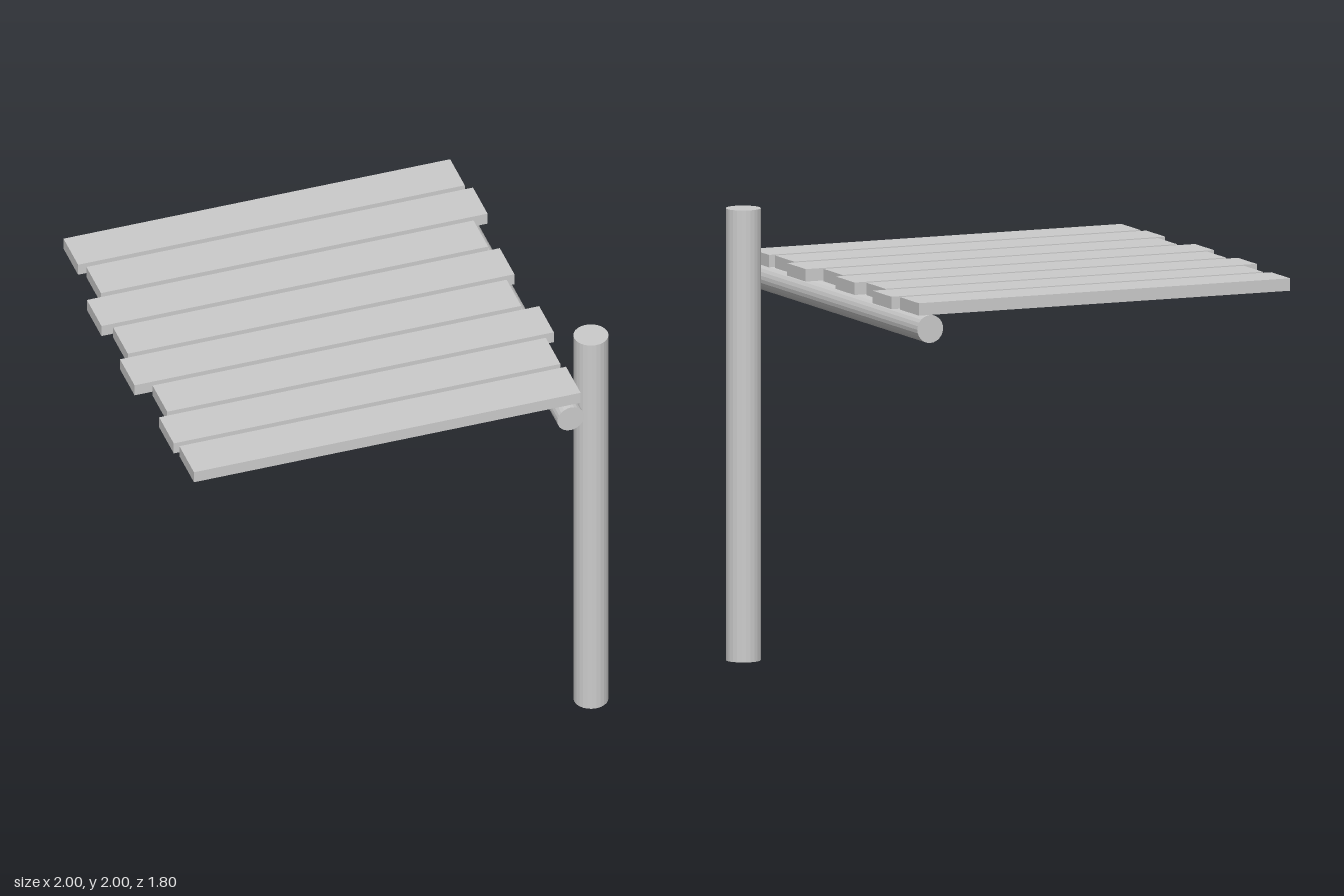
import * as THREE from 'three';

export function createModel() {
  const model = new THREE.Group();
  const material = new THREE.MeshStandardMaterial({ color: 0xcccccc, flatShading: true });

  const add = (name, geometry, x, y, z) => {
    const mesh = new THREE.Mesh(geometry, material);
    mesh.name = name;
    mesh.position.set(x, y, z);
    model.add(mesh);
    return mesh;
  };

  // Upright round post at the front left corner
  add('post', new THREE.CylinderGeometry(0.077, 0.077, 2, 24), 0.923, 1, 0.755);

  // Round beam carrying the planks, running front to back
  const beam = add('beam', new THREE.CylinderGeometry(0.062, 0.062, 1.805, 24), 0.78, 1.68, 0);
  beam.rotation.x = Math.PI / 2;

  // Unevenly staggered planks, listed from back to front by their right ends
  const planks = new THREE.Group();
  planks.name = 'planks';
  const length = 1.787;
  const rightEnds = [-0.955, -0.926, -1, -0.955, -1, -0.926, -0.972, -0.955];
  const plankGeometry = new THREE.BoxGeometry(length, 0.055, 0.199);
  rightEnds.forEach((end, i) => {
    const plank = new THREE.Mesh(plankGeometry, material);
    plank.name = `plank${i + 1}`;
    plank.position.set(end + length / 2, 1.769, -0.797 + i * 0.2258);
    planks.add(plank);
  });
  model.add(planks);

  return model;
}
